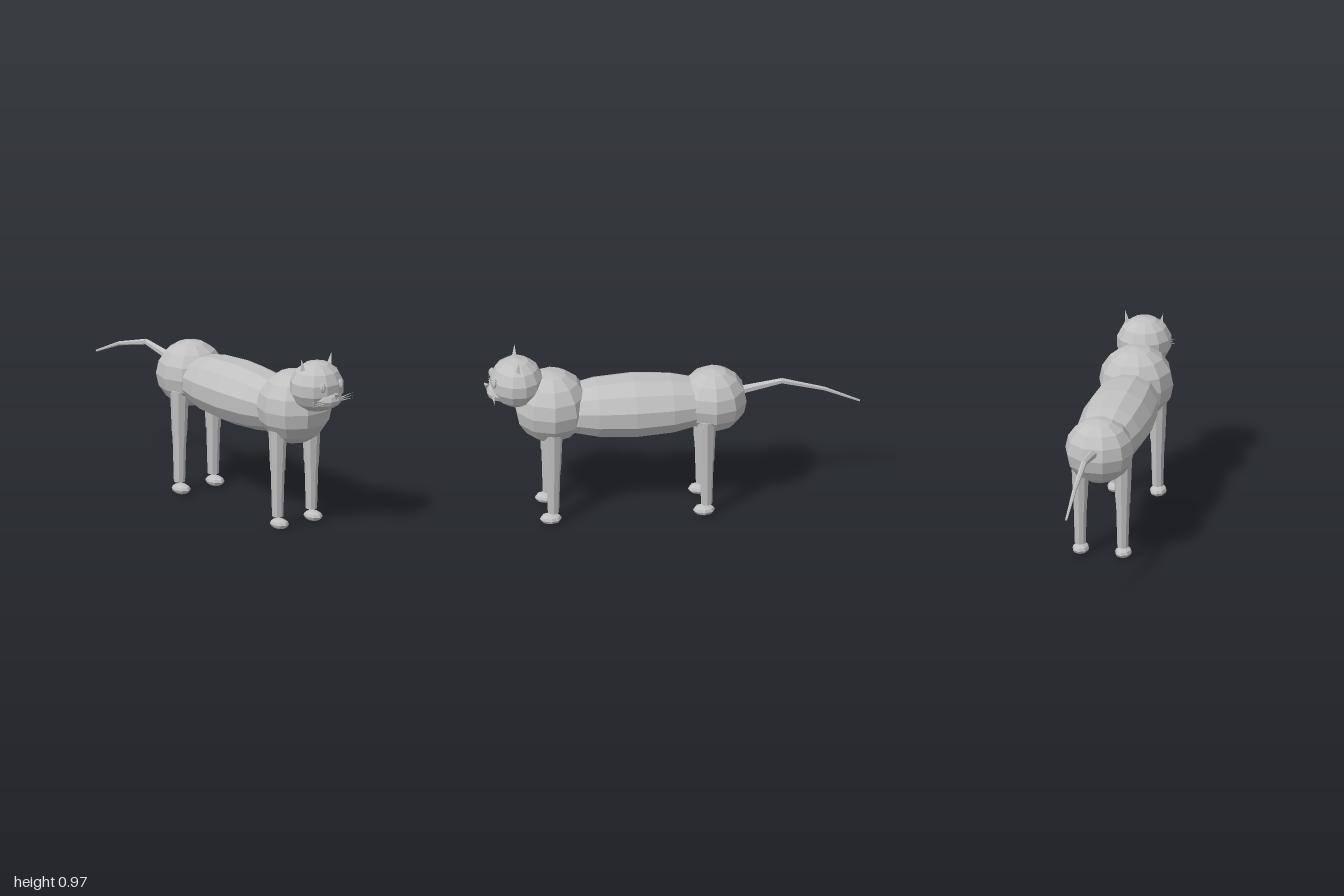
import * as THREE from 'three';

const grey = new THREE.MeshStandardMaterial({ color: 0xc0c0c0 });
grey.name = 'grey';
grey.flatShading = true;

function add(parent, name, geometry, x = 0, y = 0, z = 0) {
  const mesh = new THREE.Mesh(geometry, grey);
  mesh.name = name;
  mesh.position.set(x, y, z);
  parent.add(mesh);
  return mesh;
}

// Low-poly ball stretched to the given radii
function ball(rx, ry, rz, w = 10, h = 8) {
  return new THREE.SphereGeometry(1, w, h).scale(rx, ry, rz);
}

// Tapered rod between two points
function rod(parent, name, a, b, ra, rb, sides) {
  const from = new THREE.Vector3(...a), to = new THREE.Vector3(...b);
  const dir = to.clone().sub(from);
  const mesh = add(parent, name, new THREE.CylinderGeometry(rb, ra, dir.length(), sides));
  mesh.position.copy(from).add(to).multiplyScalar(0.5);
  mesh.quaternion.setFromUnitVectors(new THREE.Vector3(0, 1, 0), dir.normalize());
  return mesh;
}

function buildHead() {
  const head = new THREE.Group();
  head.name = 'head';
  const skull = new THREE.SphereGeometry(1, 12, 7).rotateY(Math.PI / 12).scale(0.148, 0.137, 0.143);
  add(head, 'skull', skull, 0, 0.804, 0.82);
  add(head, 'muzzle', ball(0.083, 0.05, 0.07, 10, 6), 0, 0.752, 0.91);

  // Nose: a triangle pointing down
  const nose = new THREE.ConeGeometry(0.02, 0.03, 3).rotateX(Math.PI);
  add(head, 'nose', nose, 0, 0.78, 0.98);

  for (const s of [1, -1]) {
    add(head, 'eye', ball(0.018, 0.028, 0.014, 8, 6), s * 0.06, 0.83, 0.943);
    add(head, 'pupil', ball(0.008, 0.021, 0.006, 6, 6), s * 0.06, 0.83, 0.954);
    const ear = add(head, 'ear', new THREE.ConeGeometry(0.025, 0.11, 3), s * 0.091, 0.917, 0.818);
    ear.rotation.z = -s * 0.22;
    for (const i of [-1, 0, 1]) {
      rod(head, 'whisker', [s * 0.055, 0.75 + i * 0.008, 0.95],
        [s * 0.135, 0.755 + i * 0.014, 0.95], 0.004, 0.0008, 4);
    }
  }
  return head;
}

function buildLeg(name, x, z) {
  const leg = new THREE.Group();
  leg.name = name;
  add(leg, 'upperLeg', new THREE.CylinderGeometry(0.05, 0.04, 0.25, 8), 0, 0.443, 0);
  add(leg, 'lowerLeg', new THREE.CylinderGeometry(0.037, 0.03, 0.26, 8), 0, 0.195, 0);
  add(leg, 'paw', ball(0.045, 0.028, 0.058, 8, 6), 0, 0.028, 0.014);
  leg.position.set(x, 0, z);
  return leg;
}

export function createModel() {
  const cat = new THREE.Group();
  cat.name = 'cat';

  // Torso: chest, long barrel and hips
  add(cat, 'chest', ball(0.2, 0.2, 0.2), 0, 0.65, 0.635);
  add(cat, 'hips', ball(0.184, 0.176, 0.18), 0, 0.631, -0.222);
  const barrel = new THREE.SphereGeometry(1, 12, 8)
    .rotateY(Math.PI / 12).rotateX(Math.PI / 2).scale(0.19, 0.171, 0.52);
  add(cat, 'barrel', barrel, 0, 0.62, 0.2);

  cat.add(buildHead());

  for (const s of [1, -1]) {
    cat.add(buildLeg('frontLeg', s * 0.115, 0.637));
    cat.add(buildLeg('hindLeg', s * 0.115, -0.174));
  }

  // Tail: tapering rods end to end
  const path = [[0, 0.668, -0.35], [0, 0.712, -0.585], [0, 0.65, -0.81], [0, 0.565, -0.998]];
  const radii = [0.026, 0.016, 0.011, 0.006];
  for (let i = 0; i < 3; i++) {
    rod(cat, 'tail', path[i], path[i + 1], radii[i], radii[i + 1], 6);
  }
  return cat;
}
